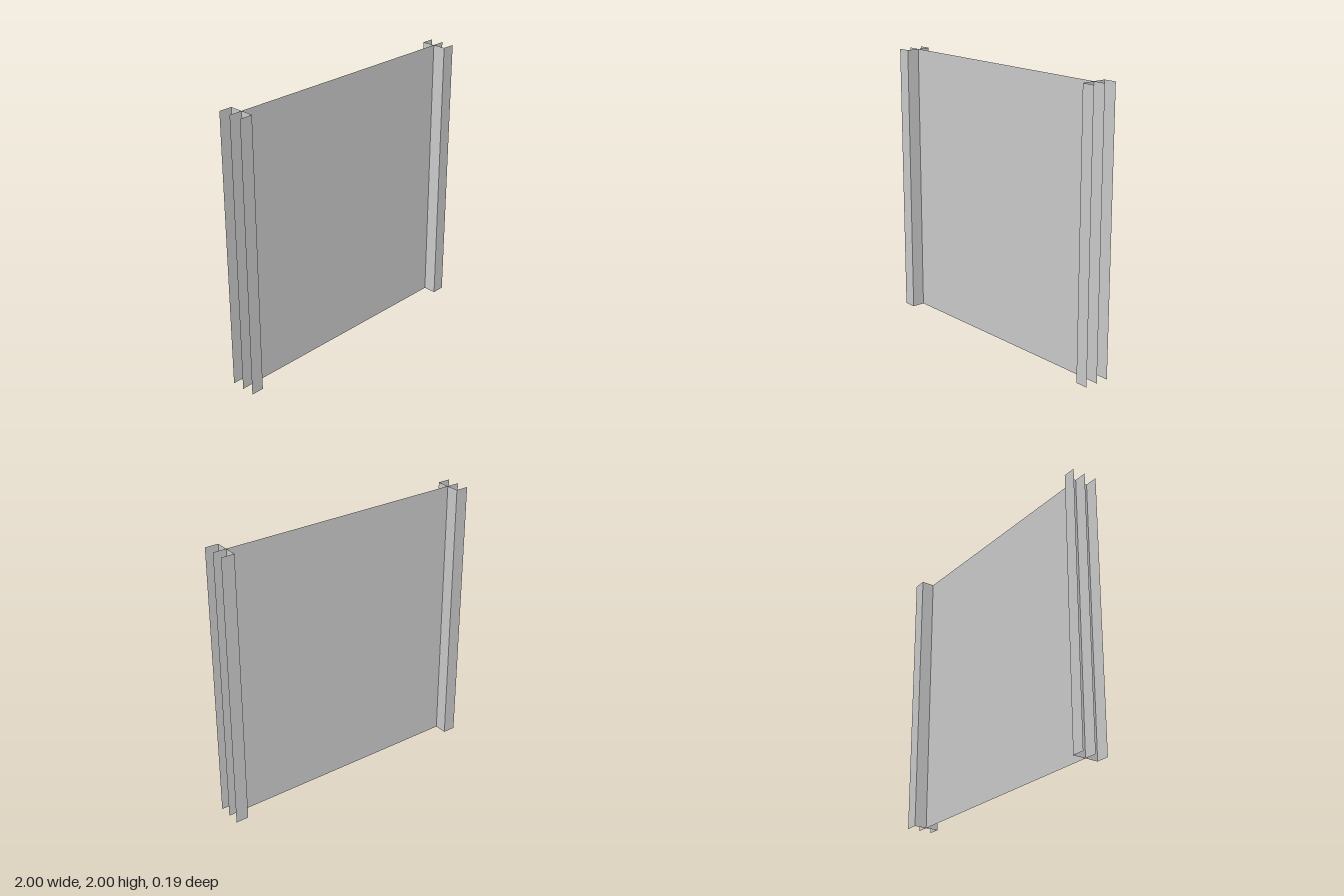
import * as THREE from 'three';

const H = 2;          // height
const WEB_X = 0.905;  // where the side webs stand
const HALF_D = 0.095; // half depth of the webs

export function createModel() {
  const group = new THREE.Group();
  const material = new THREE.MeshStandardMaterial({ color: 0xcccccc, side: THREE.DoubleSide });

  // Upright thin sheet, standing on the ground
  const sheet = (name, width, x, z, turn = 0) => {
    const mesh = new THREE.Mesh(new THREE.PlaneGeometry(width, H), material);
    mesh.name = name;
    mesh.position.set(x, H / 2, z);
    mesh.rotation.y = turn;
    group.add(mesh);
  };

  // Main panel between the webs
  sheet('mainPanel', 2 * WEB_X, 0, 0);

  // Side webs, each with three outward fins
  const finWidth = 1 - WEB_X;
  for (const [side, s] of [['left', 1], ['right', -1]]) {
    sheet(side + 'Web', 2 * HALF_D, s * WEB_X, 0, s * Math.PI / 2);
    for (const [place, z] of [['Front', HALF_D], ['Middle', 0], ['Back', -HALF_D]]) {
      sheet(side + place + 'Fin', finWidth, s * (WEB_X + finWidth / 2), z);
    }
  }
  return group;
}
